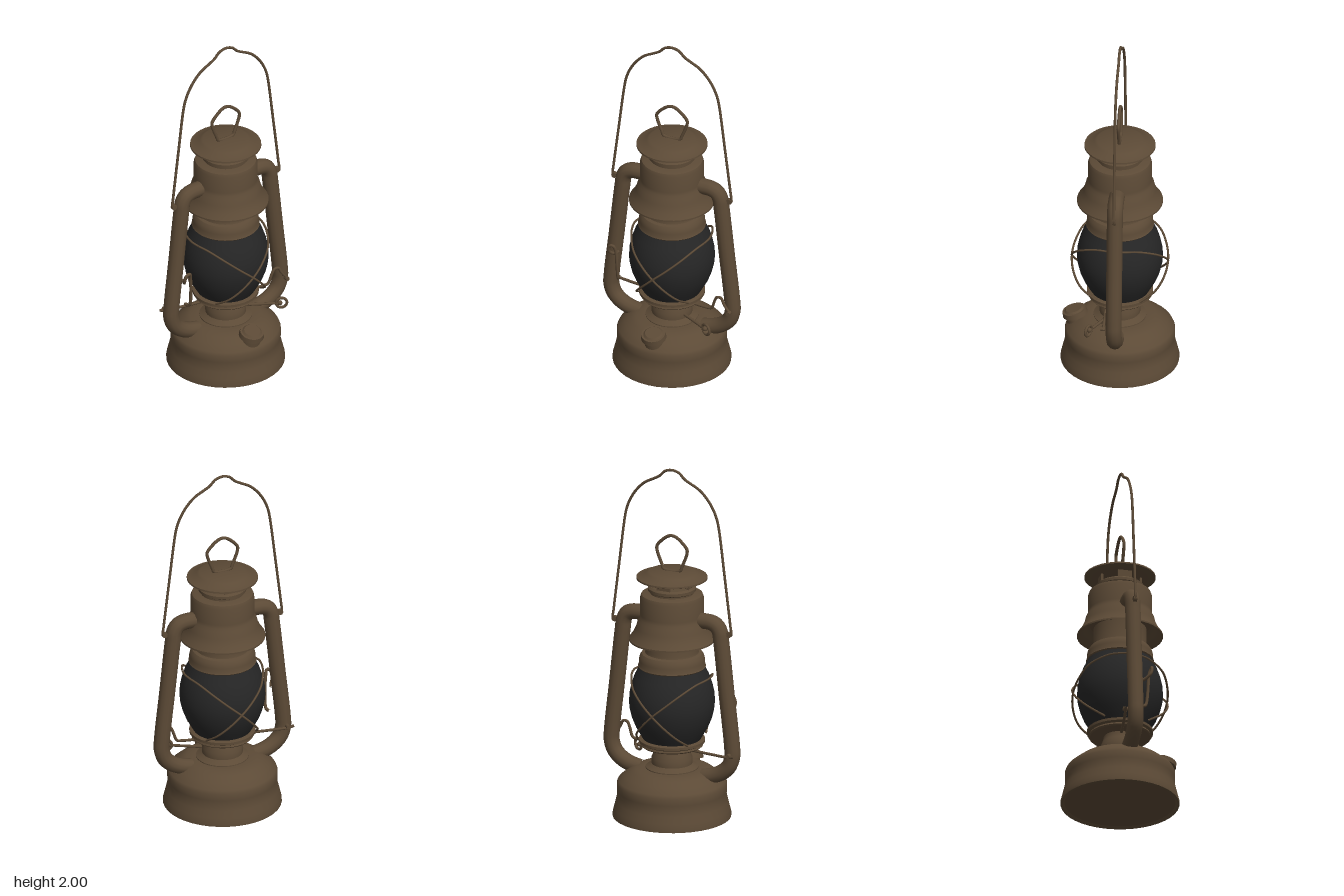
import * as THREE from 'three';
import { toCreasedNormals } from 'three/addons/utils/BufferGeometryUtils.js';

const brown = new THREE.MeshStandardMaterial({ color: 0x5c4a36 });
brown.name = 'agedBrownMetal';
const dark = new THREE.MeshStandardMaterial({ color: 0x262626 });
dark.name = 'smokedGlass';

export function createModel() {
  const model = new THREE.Group();
  model.name = 'lantern';

  function add(name, geometry, material = brown, parent = model) {
    const mesh = new THREE.Mesh(geometry, material);
    mesh.name = name;
    parent.add(mesh);
    return mesh;
  }

  // Turned part; the profile runs from the bottom axis outward and up
  function turned(name, profile, material = brown, segments = 40) {
    const pts = profile.map(([r, y]) => new THREE.Vector2(r, y));
    return add(name, toCreasedNormals(new THREE.LatheGeometry(pts, segments), 0.6), material);
  }

  // Bent wire or pipe through points
  function wire(name, points, radius, { closed = false, steps = 60, sides = 8, tension = 0.5, parent = model } = {}) {
    const curve = new THREE.CatmullRomCurve3(points.map(p => new THREE.Vector3(...p)), closed,
      tension === 0.5 ? 'centripetal' : 'catmullrom', tension);
    return add(name, new THREE.TubeGeometry(curve, steps, radius, sides, closed), brown, parent);
  }

  // Fuel tank
  turned('fuelTank', [[0, 0.012], [0.305, 0.012], [0.315, 0], [0.326, 0.003], [0.326, 0.018], [0.318, 0.05],
    [0.308, 0.09], [0.3, 0.125], [0.303, 0.15], [0.303, 0.19], [0.295, 0.208], [0.26, 0.238], [0.225, 0.264],
    [0.195, 0.277], [0.15, 0.28], [0, 0.28]]);

  // Burner and globe plate
  turned('burner', [[0, 0.27], [0.145, 0.27], [0.145, 0.285], [0.125, 0.295], [0.112, 0.305], [0.112, 0.34],
    [0.098, 0.37], [0.09, 0.4], [0.09, 0.42], [0, 0.42]]);
  turned('globePlate', [[0, 0.405], [0.165, 0.405], [0.172, 0.412], [0.168, 0.422], [0.182, 0.43],
    [0.182, 0.445], [0.16, 0.45], [0, 0.45]]);

  // Glass globe
  turned('globe', [[0.155, 0.44], [0.175, 0.475], [0.2, 0.52], [0.22, 0.57], [0.232, 0.62], [0.236, 0.66],
    [0.233, 0.71], [0.222, 0.76], [0.205, 0.81], [0.185, 0.85], [0.178, 0.87]], dark);

  // Collar above the globe
  turned('globeCollar', [[0, 0.858], [0.18, 0.858], [0.187, 0.866], [0.182, 0.876], [0.182, 0.9], [0.176, 0.925],
    [0.166, 0.94], [0.148, 0.945], [0.145, 0.955], [0.145, 1.06], [0, 1.06]]);

  // Flared hood, hollow underneath
  turned('hood', [[0, 1.08], [0.165, 1.08], [0.195, 1.055], [0.228, 1.018], [0.236, 1.015], [0.236, 1.024],
    [0.215, 1.052], [0.197, 1.09], [0.187, 1.13], [0.178, 1.145], [0.175, 1.165], [0.175, 1.262], [0.168, 1.28],
    [0.155, 1.286], [0, 1.286]]);

  // Vent neck, posts and cap
  turned('ventNeck', [[0, 1.28], [0.12, 1.28], [0.12, 1.295], [0.132, 1.302], [0.132, 1.318], [0.12, 1.328],
    [0, 1.328]]);
  for (let i = 0; i < 4; i++) {
    const a = i * Math.PI / 2;
    const post = add('ventPost', new THREE.BoxGeometry(0.078, 0.06, 0.012));
    post.position.set(Math.sin(a) * 0.11, 1.35, Math.cos(a) * 0.11);
    post.rotation.y = a;
  }
  turned('ventCap', [[0, 1.368], [0.135, 1.368], [0.185, 1.366], [0.196, 1.371], [0.195, 1.38], [0.165, 1.386],
    [0.14, 1.403], [0.125, 1.41], [0, 1.412]]);

  // Lifting ring on the cap
  wire('capRing', [[-0.05, 1.418, 0], [-0.06, 1.44, 0], [-0.092, 1.53, 0], [-0.088, 1.55, 0], [-0.03, 1.605, 0],
    [0, 1.614, 0], [0.03, 1.605, 0], [0.088, 1.55, 0], [0.092, 1.53, 0], [0.06, 1.44, 0], [0.05, 1.418, 0]],
    0.009, { closed: true, steps: 80 });

  for (const s of [-1, 1]) {
    // Side air pipes
    wire('sidePipe', [[0.14, 1.148, 0], [0.2, 1.148, 0], [0.235, 1.146, 0], [0.268, 1.132, 0], [0.288, 1.1, 0],
      [0.297, 1.04, 0], [0.33, 0.74, 0], [0.362, 0.45, 0], [0.364, 0.39, 0], [0.347, 0.335, 0], [0.31, 0.295, 0],
      [0.26, 0.268, 0], [0.19, 0.25, 0]].map(([x, y, z]) => [s * x, y, z]), 0.044, { steps: 72, sides: 12 });
    // Pivot ear for the handle
    const ear = add('handleEar', new THREE.CylinderGeometry(0.016, 0.016, 0.02, 12));
    ear.rotation.x = Math.PI / 2;
    ear.position.set(s * 0.345, 1.09, 0);
  }

  // Carrying handle
  const half = [[0.32, 1.095], [0.347, 1.083], [0.357, 1.095], [0.352, 1.14], [0.32, 1.4], [0.283, 1.69],
    [0.272, 1.74], [0.25, 1.795], [0.215, 1.85], [0.165, 1.9], [0.11, 1.93], [0.075, 1.95], [0.045, 1.98], [0.02, 1.99]];
  wire('carryHandle', [...half.map(([x, y]) => [-x, y, 0]), [0, 1.993, 0],
    ...half.slice().reverse().map(([x, y]) => [x, y, 0])], 0.0075, { steps: 140 });

  // Guard wires crossing over the globe, front and back
  for (const f of [-1, 1]) {
    for (const s of [-1, 1]) {
      wire('guardWire', [[-0.215, 0.815, 0.05], [-0.195, 0.808, 0.11], [-0.14, 0.765, 0.205], [-0.07, 0.705, 0.25],
        [0, 0.645, 0.265], [0.065, 0.58, 0.25], [0.12, 0.515, 0.205], [0.15, 0.455, 0.12]]
        .map(([x, y, z]) => [s * x, y, f * z]), 0.006, { steps: 40, sides: 6 });
    }
  }
  // Side links joining the front and back guards
  for (const s of [-1, 1]) {
    wire('guardLink', [[s * 0.215, 0.815, -0.05], [s * 0.222, 0.817, 0], [s * 0.215, 0.815, 0.05]], 0.006,
      { steps: 12, sides: 6 });
  }

  // Globe lifting bar with its crank
  wire('liftBar', [[-0.4, 0.41, -0.065], [-0.37, 0.4, -0.06], [-0.32, 0.398, -0.05], [0, 0.398, 0], [0.22, 0.398, 0.035],
    [0.255, 0.405, 0.04], [0.275, 0.455, 0.045], [0.292, 0.487, 0.048], [0.318, 0.487, 0.05], [0.335, 0.455, 0.053],
    [0.365, 0.415, 0.056], [0.375, 0.405, 0.056]], 0.008, { steps: 90 });
  for (const s of [-1, 1]) {
    const knob = add('liftBarKnob', new THREE.CylinderGeometry(0.012, 0.012, 0.025, 10));
    knob.rotation.x = Math.PI / 2;
    knob.position.set(s * 0.366, 0.408, s * 0.06);
  }

  // Loop lever on the right pipe
  wire('loopLever', [[-0.3, 0.47, 0.04], [-0.292, 0.475, 0.07], [-0.292, 0.56, 0.085], [-0.298, 0.66, 0.09],
    [-0.31, 0.695, 0.1], [-0.33, 0.69, 0.1], [-0.338, 0.65, 0.09], [-0.315, 0.62, 0.055], [-0.31, 0.62, 0.03]],
    0.009, { steps: 50 });

  // Wick shaft and winding ring
  wire('wickShaft', [[0.06, 0.328, 0.03], [0.16, 0.328, 0.085], [0.255, 0.328, 0.14]], 0.008, { steps: 12 });
  const ring = add('wickRing', new THREE.TorusGeometry(0.03, 0.008, 8, 20));
  ring.position.set(0.27, 0.33, 0.148);
  ring.rotation.y = -0.5;
  const hub = add('wickHub', new THREE.SphereGeometry(0.014, 12, 8));
  hub.position.set(0.262, 0.33, 0.144);

  // Tilted filler cap
  const filler = new THREE.Group();
  filler.name = 'fillerCap';
  filler.position.set(0, 0.262, 0.245);
  filler.rotation.x = 0.25;
  model.add(filler);
  add('fillerNeck', new THREE.CylinderGeometry(0.052, 0.058, 0.06, 24), brown, filler).position.y = -0.02;
  add('fillerLid', new THREE.CylinderGeometry(0.066, 0.07, 0.028, 24), brown, filler).position.y = 0.018;
  add('fillerTop', new THREE.CylinderGeometry(0.045, 0.056, 0.01, 24), brown, filler).position.y = 0.036;

  return model;
}
